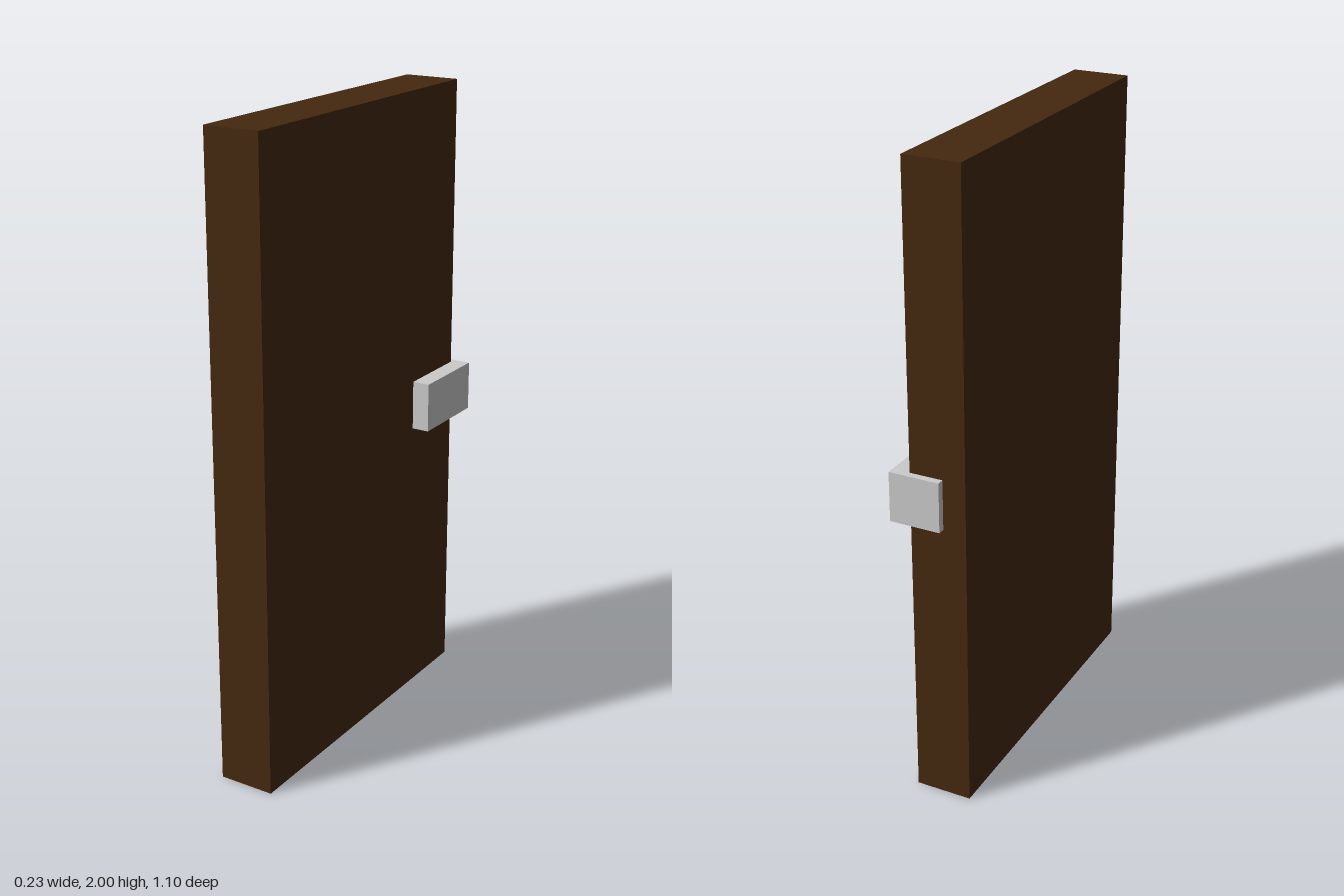
import * as THREE from 'three';

// Box given by its lower and upper corners
function addBox(group, name, min, max, material) {
  const size = max.map((v, i) => v - min[i]);
  const mesh = new THREE.Mesh(new THREE.BoxGeometry(...size), material);
  mesh.position.set(...min.map((v, i) => (v + max[i]) / 2));
  mesh.name = name;
  group.add(mesh);
}

export function createModel() {
  const group = new THREE.Group();
  group.name = 'door';
  const wood = new THREE.MeshStandardMaterial({ color: 0x45280f });
  const metal = new THREE.MeshStandardMaterial({ color: 0xcccccc });

  // Thick door slab
  addBox(group, 'doorPanel', [-0.118, 0, -0.525], [0.061, 2, 0.547], wood);

  // Latch block wrapping the free edge of the slab
  addBox(group, 'latch', [-0.045, 0.917, -0.548], [0.117, 1.075, -0.279], metal);

  return group;
}
